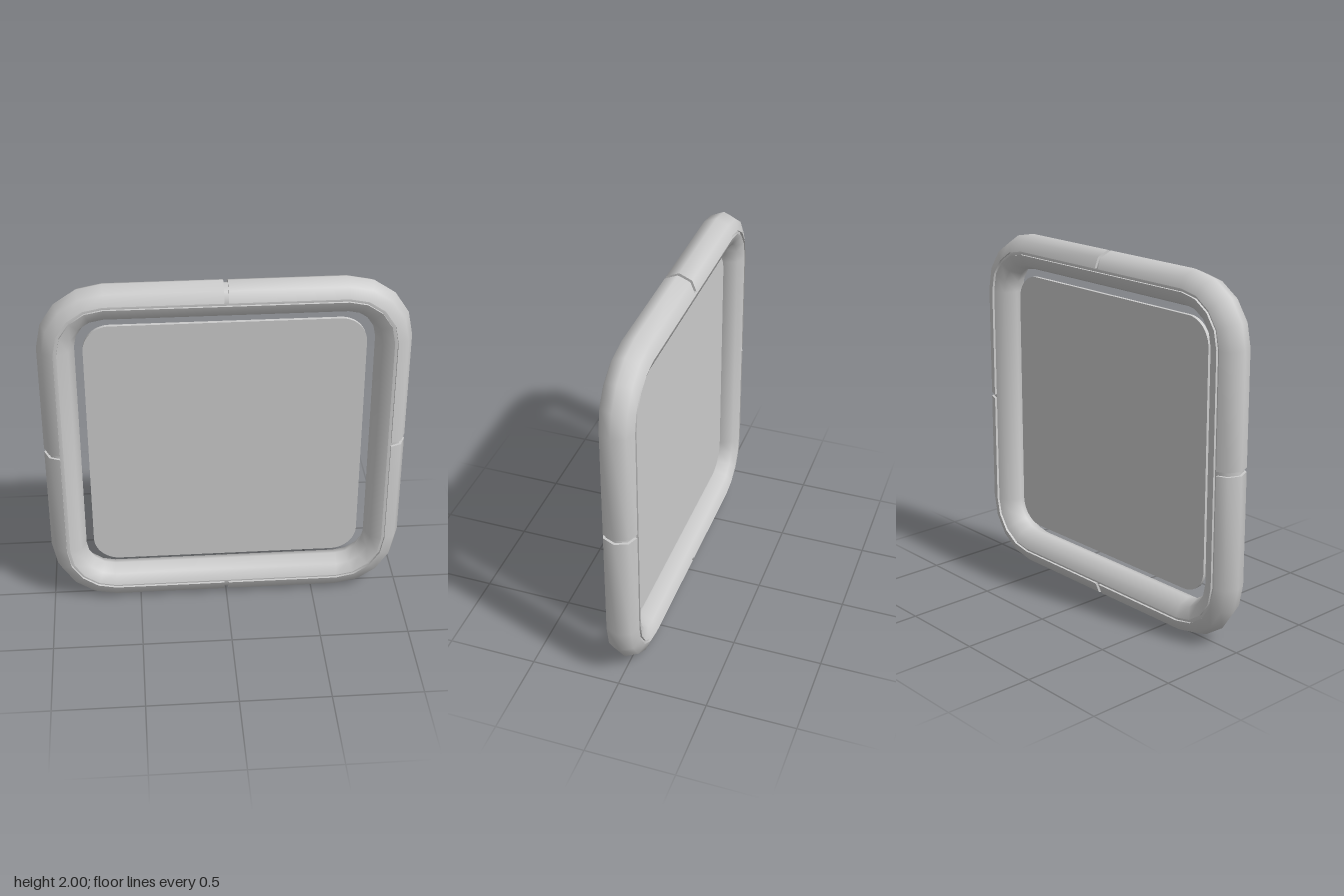
import * as THREE from 'three';
import { toCreasedNormals } from 'three/addons/utils/BufferGeometryUtils.js';

const MID = 0.9;        // distance of the tube's centre line from the middle
const CORNER = 0.64;    // centre of each corner arc
const STEPS = 4;        // segments per corner
const GAP = 0.012;      // half the gap between shell quarters

// Frames (position + outward direction) round one corner, clockwise
function cornerFrames(turn) {
  const frames = [], r = MID - CORNER;
  for (let i = 0; i <= STEPS; i++) {
    const a = (Math.PI / 2) * (1 - i / STEPS);
    const n = new THREE.Vector2(Math.cos(a), Math.sin(a));
    const p = new THREE.Vector2(CORNER, CORNER).addScaledVector(n, r);
    const o = new THREE.Vector2();
    frames.push({ p: p.rotateAround(o, turn), n: n.rotateAround(o, turn) });
  }
  return frames;
}

// Sweep a convex profile of [outward, z] points along the frames
function sweep(frames, profile, closed) {
  const pos = [], idx = [], m = profile.length, count = frames.length;
  for (const { p, n } of frames)
    for (const [u, z] of profile) pos.push(p.x + n.x * u, p.y + n.y * u, z);
  const spans = closed ? count : count - 1;
  for (let i = 0; i < spans; i++) {
    for (let j = 0; j < m; j++) {
      const k = (j + 1) % m, next = ((i + 1) % count) * m;
      const a = i * m + j, b = next + j, c = next + k, d = i * m + k;
      idx.push(a, b, c, a, c, d);
    }
  }
  if (!closed) {
    const e = (count - 1) * m;
    for (let j = 1; j < m - 1; j++) idx.push(0, j, j + 1, e, e + j + 1, e + j);
  }
  const g = new THREE.BufferGeometry();
  g.setAttribute('position', new THREE.Float32BufferAttribute(pos, 3));
  g.setIndex(idx);
  return toCreasedNormals(g, 1.0);
}

export function createModel() {
  const model = new THREE.Group();
  model.name = 'squareFrame';
  const material = new THREE.MeshStandardMaterial({ color: 0xcccccc });
  const add = (name, geometry) => {
    const mesh = new THREE.Mesh(geometry, material);
    mesh.name = name;
    mesh.position.y = 1;
    model.add(mesh);
    return mesh;
  };

  const ring = [0, 1, 2, 3].flatMap((q) => cornerFrames((-q * Math.PI) / 2));

  // Core tube, seen at the bottom of the grooves and gaps
  const core = Array.from({ length: 8 }, (_, i) => {
    const t = (i * Math.PI) / 4;
    return [0.084 * Math.sin(t), 0.084 * Math.cos(t)];
  });
  add('core', sweep(ring, core, true));

  // Continuous inner half of the tube
  const inner = [[-0.008, -0.094], [-0.07, -0.07], [-0.1, 0], [-0.07, 0.07], [-0.008, 0.094]];
  add('innerRim', sweep(ring, inner, true));

  // Outer half, split into four corner shells
  const outer = [[0.011, 0.094], [0.07, 0.07], [0.1, 0], [0.07, -0.07], [0.011, -0.094]];
  const quarter = [
    { p: new THREE.Vector2(GAP, MID), n: new THREE.Vector2(0, 1) },
    ...cornerFrames(0),
    { p: new THREE.Vector2(MID, GAP), n: new THREE.Vector2(1, 0) },
  ];
  const shell = sweep(quarter, outer, false);
  ['topLeft', 'bottomLeft', 'bottomRight', 'topRight'].forEach((corner, q) => {
    add(corner + 'Shell', shell).rotation.z = (-q * Math.PI) / 2;
  });

  // Thin rounded panel floating in the opening
  const h = 0.757, r = 0.145, s = new THREE.Shape();
  s.absarc(h - r, h - r, r, 0, Math.PI / 2);
  s.absarc(r - h, h - r, r, Math.PI / 2, Math.PI);
  s.absarc(r - h, r - h, r, Math.PI, Math.PI * 1.5);
  s.absarc(h - r, r - h, r, Math.PI * 1.5, Math.PI * 2);
  const panel = new THREE.ExtrudeGeometry(s, { depth: 0.02, bevelEnabled: false, curveSegments: 8 });
  panel.translate(0, 0, -0.01);
  add('panel', toCreasedNormals(panel, 0.6));

  return model;
}
